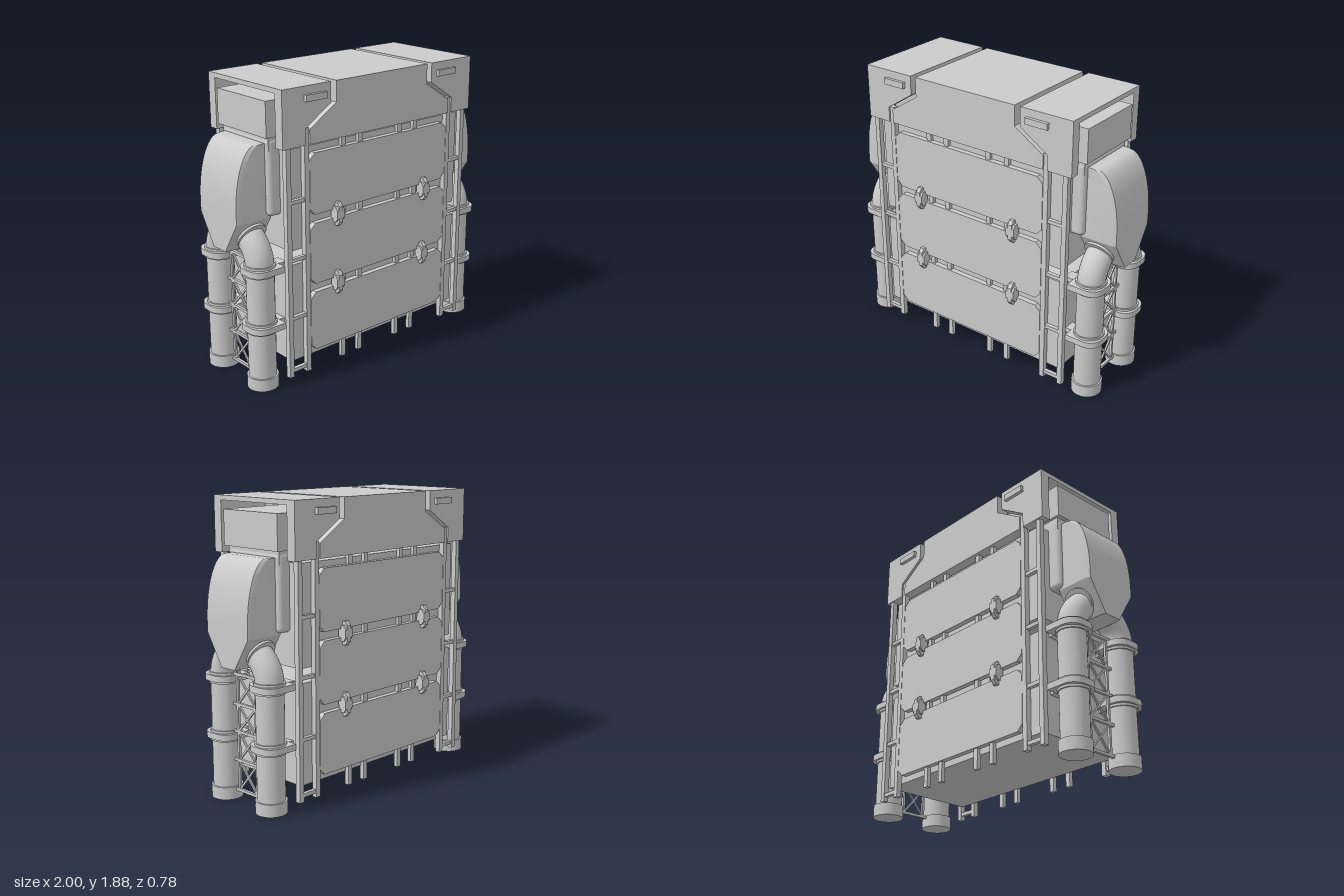
import * as THREE from 'three';
import { RoundedBoxGeometry } from 'three/addons/geometries/RoundedBoxGeometry.js';
import { toCreasedNormals } from 'three/addons/utils/BufferGeometryUtils.js';

const grey = new THREE.MeshStandardMaterial({ color: 0xcccccc });

function add(parent, name, geometry, x = 0, y = 0, z = 0) {
  const mesh = new THREE.Mesh(geometry, grey);
  mesh.name = name;
  mesh.position.set(x, y, z);
  parent.add(mesh);
  return mesh;
}

// Box given by its limits on each axis
function block(parent, name, x0, x1, y0, y1, z0, z1) {
  return add(parent, name, new THREE.BoxGeometry(x1 - x0, y1 - y0, z1 - z0),
    (x0 + x1) / 2, (y0 + y1) / 2, (z0 + z1) / 2);
}

// Flat outline in xy, pushed from z0 to z1
function plate(parent, name, points, z0, z1) {
  const shape = new THREE.Shape(points.map(([x, y]) => new THREE.Vector2(x, y)));
  return add(parent, name, new THREE.ExtrudeGeometry(shape, { depth: z1 - z0, bevelEnabled: false }), 0, 0, z0);
}

// Square bar between two points
function bar(parent, name, a, b, t) {
  const from = new THREE.Vector3(...a), to = new THREE.Vector3(...b);
  const mesh = add(parent, name, new THREE.BoxGeometry(t, t, from.distanceTo(to)));
  mesh.position.copy(from).lerp(to, 0.5);
  mesh.lookAt(to);
}

// Curved hood with a V-shaped underside, lofted from horizontal cross-sections
function hoodGeometry() {
  const levels = [0.88, 1.08, 1.15];
  for (let i = 1; i <= 12; i++) levels.push(1.15 + 0.39 * Math.sin((i / 12) * Math.PI / 2));
  const pos = [], index = [], n = 6;
  for (const y of levels) {
    const w = y < 1.08 ? 0.07 + 0.125 * (y - 0.88) / 0.2 : 0.195;
    const t = Math.max(0, (y - 1.15) / 0.39);
    const X = 0.85 + 0.15 * Math.sqrt(Math.max(0, 1 - t * t));
    const ring = [[0.755, w], [X - 0.03, w], [X, w - 0.01], [X, 0.01 - w], [X - 0.03, -w], [0.755, -w]];
    for (const [x, z] of ring) pos.push(x, y, z);
  }
  for (let r = 0; r < levels.length - 1; r++) {
    for (let i = 0; i < n; i++) {
      const a = r * n + i, b = r * n + (i + 1) % n;
      index.push(a, b, b + n, a, b + n, a + n);
    }
  }
  const top = (levels.length - 1) * n;
  for (let i = 1; i < n - 1; i++) index.push(0, i + 1, i, top, top + i, top + i + 1);
  const g = new THREE.BufferGeometry();
  g.setAttribute('position', new THREE.Float32BufferAttribute(pos, 3));
  g.setIndex(index);
  return toCreasedNormals(g, 0.35);
}

// Rounded band around a pipe, lying in xz
function collarGeometry(x0, x1, z0, z1, r, h) {
  const s = new THREE.Shape();
  s.moveTo(x0, z0);
  s.lineTo(x1 - r, z0);
  s.absarc(x1 - r, z0 + r, r, -Math.PI / 2, 0);
  s.absarc(x1 - r, z1 - r, r, 0, Math.PI / 2);
  s.lineTo(x0, z1);
  const g = new THREE.ExtrudeGeometry(s, { depth: h, bevelEnabled: false, curveSegments: 8 });
  return toCreasedNormals(g.rotateX(Math.PI / 2), 0.5);
}

// One end: hood, back plate, two bent pipes, collars and truss
function buildEnd() {
  const end = new THREE.Group();
  end.name = 'pipeEnd';
  add(end, 'hood', hoodGeometry());
  add(end, 'hoodBackPlate', new RoundedBoxGeometry(0.12, 0.48, 0.46, 3, 0.03), 0.73, 1.33, 0);
  block(end, 'neck', 0.6, 0.785, 1.5, 1.58, -0.225, 0.225);

  const px = 0.858, pz = 0.208;
  for (const s of [1, -1]) {
    add(end, 'pipe', new THREE.CylinderGeometry(0.0875, 0.0875, 0.8, 28), px, 0.4, s * pz);
    add(end, 'pipeFoot', new THREE.CylinderGeometry(0.099, 0.099, 0.08, 28), px, 0.04, s * pz);
    const bend = new THREE.QuadraticBezierCurve3(
      new THREE.Vector3(px, 0.79, s * pz),
      new THREE.Vector3(px, 0.9, s * pz),
      new THREE.Vector3(px, 0.97, s * 0.1));
    add(end, 'pipeElbow', new THREE.TubeGeometry(bend, 16, 0.0875, 28, false));
    const flange = add(end, 'pipeFlange', new THREE.CylinderGeometry(0.098, 0.098, 0.03, 28), px, 0.975, s * 0.13);
    flange.rotation.x = s * Math.atan2(0.848, -0.53);
    for (const y of [0.41, 0.78]) {
      const z = [s * 0.095, s * 0.32].sort((a, b) => a - b);
      add(end, 'pipeCollar', collarGeometry(0.755, 0.965, z[0], z[1], 0.085, 0.04), 0, y + 0.02, 0);
      add(end, 'collarRing', new THREE.CylinderGeometry(0.097, 0.097, 0.07, 28), px, y, s * pz);
      block(end, 'collarBracket', 0.69, 0.78, y - 0.015, y + 0.015, s * pz - 0.04, s * pz + 0.04);
    }
    bar(end, 'trussPost', [px, 0.06, s * 0.083], [px, 0.82, s * 0.083], 0.016);
  }
  const rungs = [0.065, 0.26, 0.445, 0.62, 0.81];
  rungs.forEach((y, i) => {
    bar(end, 'trussRung', [px, y, -0.12], [px, y, 0.12], 0.018);
    if (i === 0) return;
    const below = rungs[i - 1];
    bar(end, 'trussBrace', [px, below, -0.083], [px, y, 0.083], 0.012);
    bar(end, 'trussBrace', [px, below, 0.083], [px, y, -0.083], 0.012);
  });
  return end;
}

// One long face: ribs, panels, clamps and ladders
function buildFace() {
  const face = new THREE.Group();
  face.name = 'panelFace';
  for (const x of [-0.305, -0.165, 0.165, 0.305]) {
    block(face, 'rib', x - 0.017, x + 0.017, 0.06, 1.53, 0.31, 0.338);
  }
  const c = 0.04, w = 0.58;
  for (const [y0, y1] of [[0.19, 0.58], [0.635, 1.03], [1.085, 1.47]]) {
    plate(face, 'panel', [[-w + c, y0], [w - c, y0], [w, y0 + c], [w, y1 - c],
      [w - c, y1], [-w + c, y1], [-w, y1 - c], [-w, y0 + c]], 0.312, 0.35);
  }
  for (const y of [0.607, 1.057]) {
    for (const x of [-0.37, 0.37]) {
      // Clamp with bevelled top and bottom, profile in depth and height
      for (const [width, h] of [[0.06, 0.05], [0.03, 0.075]]) {
        const clamp = plate(face, 'clamp', [[0, -h], [0.04, -h], [0.06, -h + 0.025],
          [0.06, h - 0.025], [0.04, h], [0, h]], -width / 2, width / 2);
        clamp.geometry.translate(0, 0, -width / 2).rotateY(-Math.PI / 2);
        clamp.position.set(x, y, 0.33);
      }
    }
  }
  for (const s of [1, -1]) {
    const post = (x, top) => block(face, 'ladderPost', s * x - 0.017, s * x + 0.017, 0.06, top, 0.315, 0.35);
    post(0.6, 1.63);
    post(0.737, 1.53);
    for (const y of [0.1, 0.45, 0.83, 1.195]) {
      block(face, 'ladderRung', s * 0.668 - 0.06, s * 0.668 + 0.06, y - 0.012, y + 0.012, 0.32, 0.345);
    }
    // Cover sides with the slanted split
    const side = [[0.42, 1.88], [0.42, 1.755], [0.615, 1.63], [0.615, 1.53], [0.785, 1.53], [0.785, 1.88]];
    plate(face, 'endCoverSide', side.map(([x, y]) => [s * x, y]), 0.295, 0.36);
    block(face, 'coverHandle', s * 0.545 - 0.078, s * 0.545 + 0.078, 1.79, 1.83, 0.355, 0.382);
  }
  plate(face, 'middleCoverSide', [[-0.38, 1.88], [-0.38, 1.75], [-0.585, 1.62], [-0.585, 1.53],
    [0.585, 1.53], [0.585, 1.62], [0.38, 1.75], [0.38, 1.88]], 0.27, 0.36);
  return face;
}

export function createModel() {
  const model = new THREE.Group();
  model.name = 'filterUnit';

  // Body in two stacked boxes with an open slot between them
  block(model, 'lowerBody', -0.71, 0.71, 0.15, 0.79, -0.315, 0.315);
  block(model, 'upperBody', -0.71, 0.71, 0.88, 1.51, -0.315, 0.315);
  block(model, 'topDuct', -0.81, 0.81, 1.58, 1.8, -0.24, 0.24);
  block(model, 'topDuctBase', -0.7, 0.7, 1.5, 1.59, -0.225, 0.225);

  // Cover roof in three pieces
  for (const [x0, x1] of [[-0.785, -0.42], [-0.38, 0.38], [0.42, 0.785]]) {
    block(model, 'coverRoof', x0, x1, 1.85, 1.88, -0.36, 0.36);
  }

  // Each end and each face repeats after a half turn
  for (const build of [buildEnd, buildFace]) {
    const opposite = build();
    opposite.rotation.y = Math.PI;
    model.add(build(), opposite);
  }
  return model;
}
